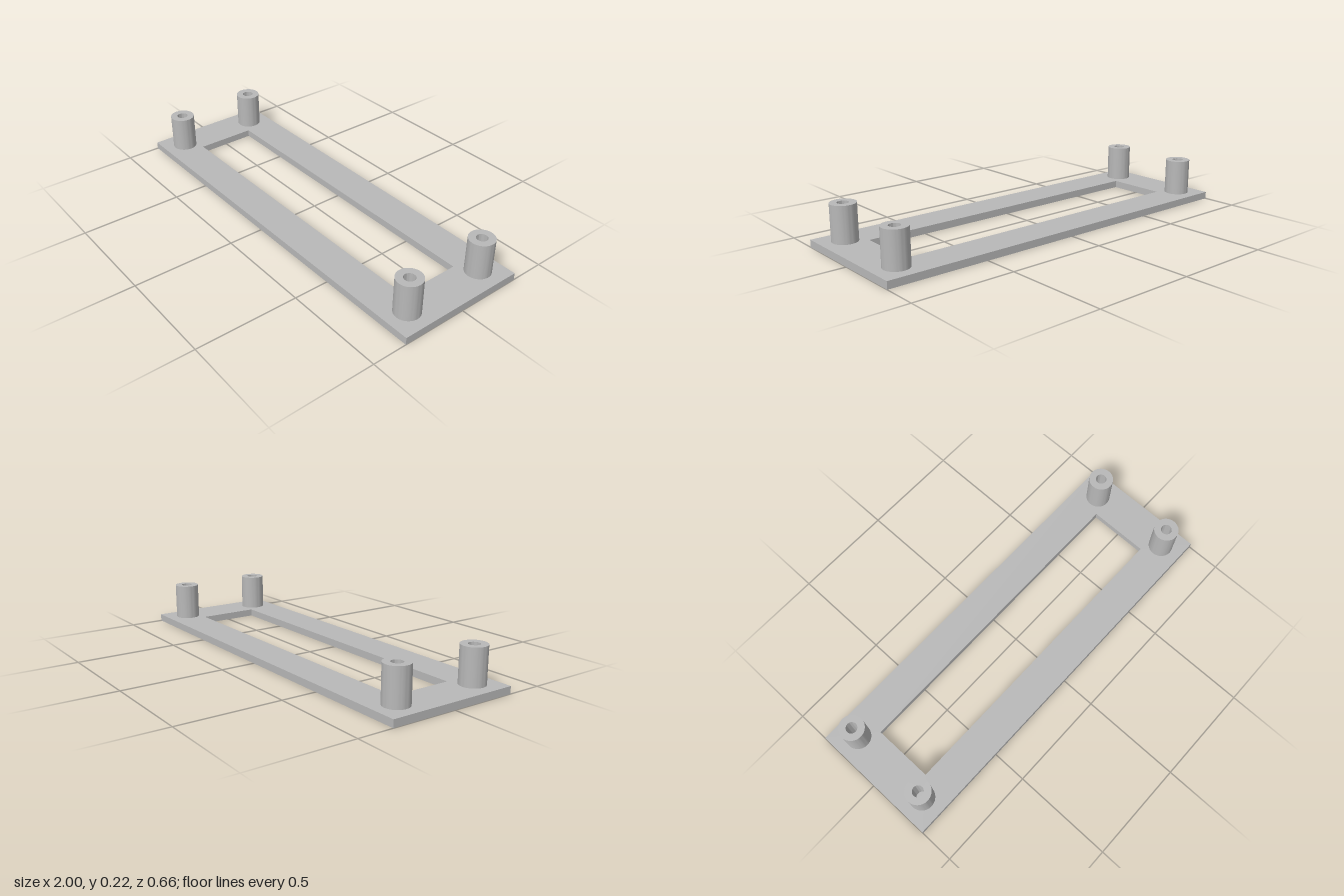
import * as THREE from 'three';
import { toCreasedNormals } from 'three/addons/utils/BufferGeometryUtils.js';

const PLATE_HEIGHT = 0.036;
const POST_HEIGHT = 0.179;

// Rectangle outline centred on the origin
function rectangle(PathType, halfX, halfZ) {
  return new PathType([
    new THREE.Vector2(-halfX, -halfZ),
    new THREE.Vector2(halfX, -halfZ),
    new THREE.Vector2(halfX, halfZ),
    new THREE.Vector2(-halfX, halfZ),
  ]);
}

// Extrude a flat outline straight up from y = 0
function extrudeUp(shape, height, curveSegments = 1) {
  const geometry = new THREE.ExtrudeGeometry(shape, { depth: height, bevelEnabled: false, curveSegments });
  geometry.rotateX(-Math.PI / 2);
  return toCreasedNormals(geometry, 0.5);
}

export function createModel() {
  const model = new THREE.Group();
  model.name = 'mountingFrame';
  const grey = new THREE.MeshStandardMaterial({ color: 0xb8b8b8 });
  grey.name = 'light grey';

  // Flat rectangular frame with a central window
  const frame = rectangle(THREE.Shape, 1, 0.328);
  frame.holes.push(rectangle(THREE.Path, 0.8, 0.152));
  const plate = new THREE.Mesh(extrudeUp(frame, PLATE_HEIGHT), grey);
  plate.name = 'framePlate';
  model.add(plate);

  // Hollow standoff posts, their bores ending at the plate
  const ring = new THREE.Shape().absarc(0, 0, 0.0615, 0, Math.PI * 2);
  ring.holes.push(new THREE.Path().absarc(0, 0, 0.027, 0, Math.PI * 2, true));
  const postGeometry = extrudeUp(ring, POST_HEIGHT, 32);
  for (const x of [-1, 1]) {
    for (const z of [-1, 1]) {
      const post = new THREE.Mesh(postGeometry, grey);
      post.name = (z > 0 ? 'front' : 'back') + (x > 0 ? 'Left' : 'Right') + 'Post';
      post.position.set(x * 0.886, PLATE_HEIGHT, z * 0.215);
      model.add(post);
    }
  }
  return model;
}
